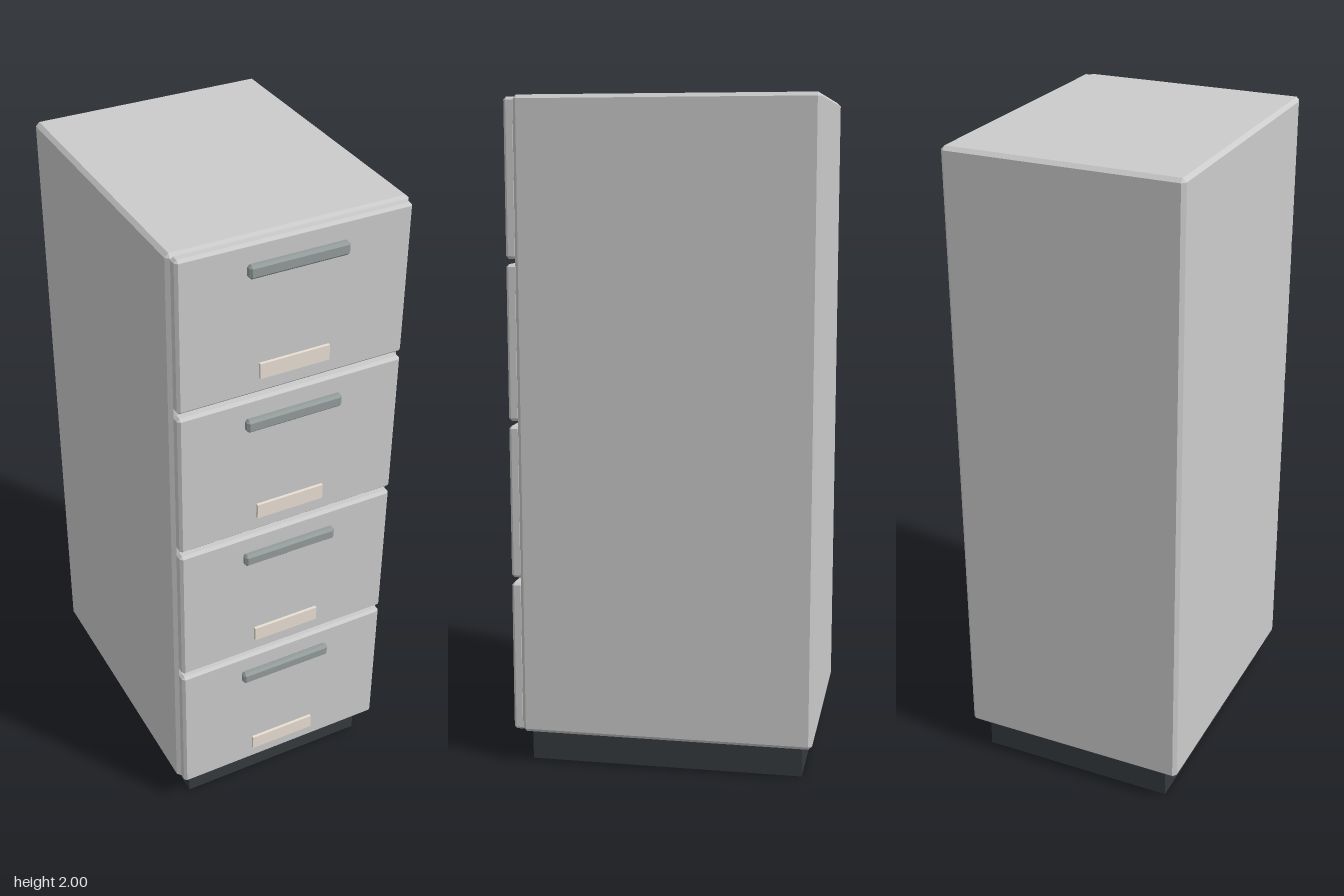
import * as THREE from 'three';
import { ConvexGeometry } from 'three/addons/geometries/ConvexGeometry.js';

const paint = new THREE.MeshStandardMaterial({ color: 0xcccccc });
const metal = new THREE.MeshStandardMaterial({ color: 0x949c9c });
const card = new THREE.MeshStandardMaterial({ color: 0xe8dfd2 });
const dark = new THREE.MeshStandardMaterial({ color: 0x353a3d });

// Box with every edge cut by a flat chamfer c, as the hull of 24 points
function chamferBox(w, h, d, c) {
  const pts = [];
  for (const x of [-1, 1]) for (const y of [-1, 1]) for (const z of [-1, 1]) {
    for (const face of [0, 1, 2]) {
      const half = [w, h, d].map((s, i) => s / 2 - (i === face ? 0 : c));
      pts.push(new THREE.Vector3(x * half[0], y * half[1], z * half[2]));
    }
  }
  return new ConvexGeometry(pts);
}

// Mesh spanning y0..y1 and z0..z1, centred on x
function block(name, material, w, y0, y1, z0, z1, c) {
  const h = y1 - y0, d = z1 - z0;
  const geometry = c ? chamferBox(w, h, d, c) : new THREE.BoxGeometry(w, h, d);
  const mesh = new THREE.Mesh(geometry, material);
  mesh.name = name;
  mesh.position.set(0, (y0 + y1) / 2, (z0 + z1) / 2);
  return mesh;
}

export function createModel() {
  const cabinet = new THREE.Group();
  cabinet.name = 'filingCabinet';

  // Recessed plinth and cabinet shell
  cabinet.add(block('plinth', dark, 0.616, 0, 0.11, -0.434, 0.394));
  cabinet.add(block('body', paint, 0.712, 0.1, 2, -0.467, 0.415, 0.011));

  // Four identical drawers, each with a pull and a label plate
  for (let i = 0; i < 4; i++) {
    const drawer = new THREE.Group();
    drawer.name = `drawer${i + 1}`;
    drawer.position.y = 0.104 + i * 0.4765;
    drawer.add(block('drawerFront', paint, 0.692, 0, 0.461, 0.408, 0.444, 0.008));
    drawer.add(block('handle', metal, 0.296, 0.367, 0.406, 0.442, 0.467, 0.007));
    drawer.add(block('labelPlate', card, 0.212, 0.05, 0.097, 0.44, 0.453));
    cabinet.add(drawer);
  }
  return cabinet;
}
